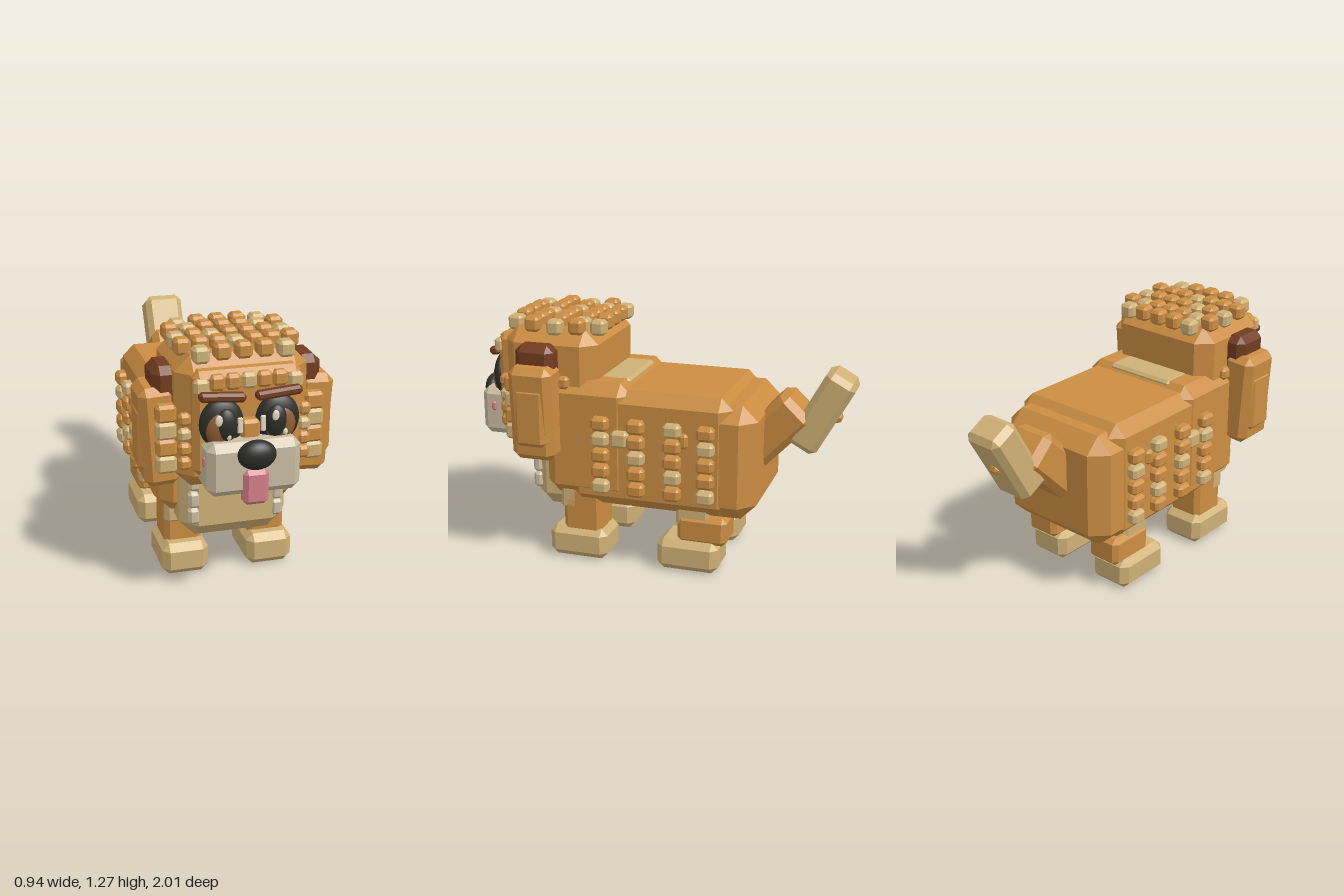
import * as THREE from 'three';
import { ConvexGeometry } from 'three/addons/geometries/ConvexGeometry.js';

const mat = (name, color) => Object.assign(new THREE.MeshStandardMaterial({ color }), { name });

export function createModel() {
  const orange = mat('orange fur', 0xcb8d42);
  const tan = mat('tan fur', 0xcfb176);
  const pale = mat('pale muzzle', 0xcabda2);
  const brown = mat('dark brown', 0x733c1f);
  const iris = mat('iris brown', 0x8f5c33);
  const black = mat('nose black', 0x2d2e28);
  const pink = mat('tongue pink', 0xd37f88);
  const shine = mat('eye shine', 0xe2d8c2);

  const model = new THREE.Group();
  model.name = 'blockDog';

  const group = (name) => {
    const g = new THREE.Group();
    g.name = name;
    model.add(g);
    return g;
  };

  // Box with every edge and corner cut flat
  const cache = new Map();
  function chamferGeometry(w, h, d, c) {
    const key = [w, h, d, c].map((n) => n.toFixed(3)).join();
    if (cache.has(key)) return cache.get(key);
    const x = w / 2, y = h / 2, z = d / 2, pts = [];
    for (const i of [-1, 1]) for (const j of [-1, 1]) for (const k of [-1, 1]) {
      pts.push(
        new THREE.Vector3(i * x, j * (y - c), k * (z - c)),
        new THREE.Vector3(i * (x - c), j * y, k * (z - c)),
        new THREE.Vector3(i * (x - c), j * (y - c), k * z)
      );
    }
    const geometry = new ConvexGeometry(pts);
    cache.set(key, geometry);
    return geometry;
  }

  // Block given by centre and size
  function block(parent, name, material, [x, y, z], [w, h, d], c = 0.015) {
    const mesh = new THREE.Mesh(chamferGeometry(w, h, d, c), material);
    mesh.name = name;
    mesh.position.set(x, y, z);
    parent.add(mesh);
    return mesh;
  }

  // Block given by its ranges on x, y and z
  const span = (parent, name, material, [x0, x1], [y0, y1], [z0, z1], c) =>
    block(parent, name, material, [(x0 + x1) / 2, (y0 + y1) / 2, (z0 + z1) / 2], [x1 - x0, y1 - y0, z1 - z0], c);

  function ellipsoid(parent, name, material, [x, y, z], [rx, ry, rz]) {
    const mesh = new THREE.Mesh(new THREE.SphereGeometry(1, 24, 16), material);
    mesh.name = name;
    mesh.position.set(x, y, z);
    mesh.scale.set(rx, ry, rz);
    parent.add(mesh);
    return mesh;
  }

  // Torso
  const body = group('body');
  span(body, 'barrel', orange, [-0.34, 0.34], [0.31, 0.93], [-0.45, 0.4], 0.06);
  span(body, 'rump', orange, [-0.335, 0.335], [0.3, 0.895], [-0.57, -0.1], 0.08);
  span(body, 'shoulders', orange, [-0.345, 0.345], [0.35, 0.96], [0.07, 0.53], 0.06);
  span(body, 'backPatch', tan, [-0.2, 0.2], [0.88, 0.964], [0.11, 0.27], 0.015);
  span(body, 'bib', tan, [-0.265, 0.265], [0.24, 0.7], [0.3, 0.635], 0.08);

  // Tail: angled base, lighter tip and a small tuft behind it
  const tail = group('tail');
  block(tail, 'tailBase', orange, [0, 0.715, -0.6], [0.24, 0.4, 0.21], 0.035).rotation.x = -0.76;
  block(tail, 'tailTip', tan, [0, 0.832, -0.845], [0.21, 0.43, 0.165], 0.03).rotation.x = -0.5;
  block(tail, 'tailTuft', orange, [0, 0.8, -0.915], [0.06, 0.05, 0.05]).rotation.x = -0.5;

  // Head
  const head = group('head');
  span(head, 'skull', orange, [-0.315, 0.315], [0.57, 1.21], [0.26, 0.765], 0.075);
  span(head, 'facePlate', orange, [-0.255, 0.255], [0.66, 1.16], [0.6, 0.81], 0.03);
  span(head, 'muzzle', pale, [-0.22, 0.22], [0.6, 0.855], [0.7, 0.935], 0.035);
  span(head, 'noseBridge', orange, [-0.045, 0.045], [0.84, 0.935], [0.78, 0.86], 0.015);
  ellipsoid(head, 'nose', black, [0, 0.805, 0.948], [0.09, 0.07, 0.052]);
  span(head, 'tongue', pink, [-0.06, 0.06], [0.56, 0.73], [0.885, 0.96], 0.02);

  // Curls on the crown: o = orange, c = tan
  const crown = [
    [0.27, 0.1, 'coooc'], [0.365, 0.086, 'ocoooco'], [0.483, 0.086, 'cocoooc'],
    [0.6, 0.086, 'ooocooo'], [0.715, 0.1, 'coooc'],
  ];
  for (const [z, step, row] of crown) {
    [...row].forEach((k, i) => {
      const x = (i - (row.length - 1) / 2) * step;
      block(head, 'crownCurl', k === 'c' ? tan : orange, [x, k === 'c' ? 1.217 : 1.227, z], [0.077, 0.077, 0.077]);
    });
  }

  // Fringe above the brows
  [...'coocooc'].forEach((k, i) => {
    const x = (i - 3) * 0.073;
    block(head, 'fringeCurl', k === 'c' ? tan : orange,
      [x, 1.11 - 0.015 * (Math.abs(i - 3) === 3), 0.805], [0.072, 0.075, 0.05]);
  });

  for (const s of [-1, 1]) {
    const side = s > 0 ? 'left' : 'right';

    // Ears
    const ear = group(side + 'Ear');
    span(ear, 'earBase', brown, s > 0 ? [0.28, 0.405] : [-0.405, -0.28], [0.95, 1.145], [0.45, 0.655], 0.035);
    block(ear, 'earFlap', orange, [s * 0.372, 0.805, 0.552], [0.175, 0.49, 0.23], 0.035).rotation.z = -s * 0.06;
    block(ear, 'earBulge', orange, [s * 0.425, 0.79, 0.552], [0.095, 0.33, 0.19], 0.035);
    ['o', 'c', 'o', 'c'].forEach((k, i) =>
      block(ear, 'earCurl', k === 'c' ? tan : orange, [s * 0.355, 0.94 - i * 0.083, 0.68], [0.096, 0.086, 0.07]));
    block(ear, 'earBackCurl', orange, [s * 0.315, 0.95, 0.42], [0.06, 0.065, 0.06]);
    block(ear, 'earBackCurl', tan, [s * 0.315, 0.88, 0.42], [0.06, 0.065, 0.06]);

    // Eyes
    const eye = group(side + 'Eye');
    const ex = s * 0.132;
    ellipsoid(eye, 'eyeRim', black, [ex, 0.923, 0.825], [0.104, 0.118, 0.045]);
    ellipsoid(eye, 'iris', iris, [ex - s * -0.006, 0.905, 0.845], [0.074, 0.09, 0.036]);
    ellipsoid(eye, 'pupil', black, [ex - s * 0.014, 0.922, 0.855], [0.054, 0.08, 0.036]);
    ellipsoid(eye, 'largeGlint', shine, [ex - 0.026, 0.957, 0.884], [0.017, 0.027, 0.008]);
    ellipsoid(eye, 'smallGlint', shine, [ex + 0.022, 0.874, 0.88], [0.011, 0.016, 0.008]);
    block(eye, 'eyeCorner', shine, [s * 0.054, 0.918, 0.862], [0.024, 0.076, 0.012], 0.004);
    block(eye, 'brow', brown, [s * 0.132, 1.052, 0.84], [0.216, 0.042, 0.05], 0.012).rotation.z = s * 0.08;

    // Cheeks
    block(head, 'cheekSpot', pink, [s * 0.217, 0.758, 0.86], [0.025, 0.05, 0.026], 0.008);
    [[0.93, orange], [0.855, tan], [0.785, orange], [0.715, orange]].forEach(([y, m]) =>
      block(head, 'cheekCurl', m, [s * 0.285, y, 0.755], [0.06, 0.06, 0.05]));

    // Curls down the edges of the bib
    for (const y of [0.55, 0.46, 0.375])
      block(body, 'bibCurl', pale, [s * 0.207, y, 0.618], [0.06, 0.084, 0.05]);

    // Flank curls, top to bottom in each column
    const flank = [[0.215, 'ocooc'], [0.027, 'oocoo'], [-0.162, 'cooco'.replace(' ', 'o').slice(0, 5)], [-0.333, 'ocooc']];
    for (const [z, column] of flank) {
      [...column].forEach((k, i) =>
        block(body, 'flankCurl', k === 'c' ? tan : orange, [s * 0.36, 0.765 - i * 0.083, z], [0.062, 0.07, 0.088]));
    }
    block(body, 'flankCurl', tan, [s * 0.345, 0.69, 0.113], [0.07, 0.085, 0.09]);
    block(body, 'flankCurl', orange, [s * 0.335, 0.71, -0.215], [0.05, 0.08, 0.05]);

    // Legs and paws
    const front = group(side + 'FrontLeg');
    block(front, 'leg', orange, [s * 0.215, 0.265, 0.342], [0.19, 0.26, 0.21], 0.025);
    block(front, 'upperLeg', tan, [s * 0.235, 0.33, 0.41], [0.15, 0.14, 0.1], 0.02);
    block(front, 'paw', tan, [s * 0.217, 0.083, 0.363], [0.235, 0.166, 0.317], 0.035);

    const rear = group(side + 'RearLeg');
    block(rear, 'leg', orange, [s * 0.215, 0.225, -0.3], [0.19, 0.15, 0.26], 0.025);
    block(rear, 'thigh', tan, [s * 0.215, 0.305, -0.25], [0.17, 0.14, 0.18], 0.02);
    block(rear, 'paw', tan, [s * 0.217, 0.083, -0.228], [0.235, 0.166, 0.322], 0.035);
  }

  return model;
}
